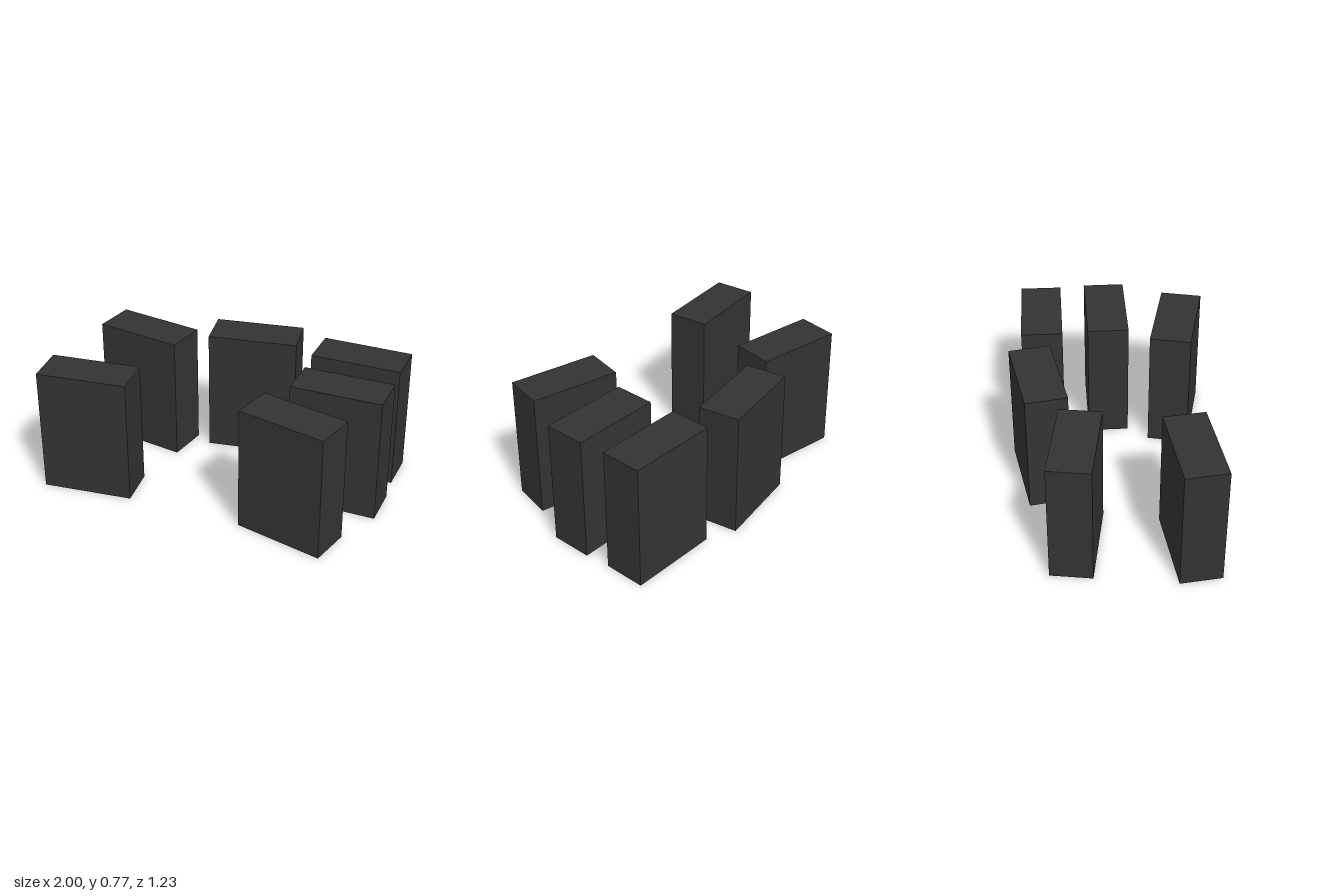
import * as THREE from 'three';

const WIDTH = 0.553, HEIGHT = 0.775, DEPTH = 0.255;

// Box shell standing on y = 0, open underneath
function openBottomBox() {
  const box = new THREE.BoxGeometry(WIDTH, HEIGHT, DEPTH);
  box.translate(0, HEIGHT / 2, 0);
  const index = Array.from(box.getIndex().array);
  index.splice(18, 6); // remove the two triangles of the bottom face
  box.setIndex(index);
  box.clearGroups();
  return box;
}

export function createModel() {
  const model = new THREE.Group();
  model.name = 'blockArrangement';
  const geometry = openBottomBox();
  const material = new THREE.MeshStandardMaterial({ color: 0x333333, side: THREE.DoubleSide });

  // Loose ring of identical blocks: x, z, turn about y
  const blocks = [
    ['backRightBlock', -0.642, -0.243, -0.147],
    ['backBlock', 0.004, -0.445, 0.183],
    ['backLeftBlock', 0.702, -0.419, 0.006],
    ['leftBlock', 0.722, -0.008, 0.012],
    ['frontLeftBlock', 0.585, 0.431, -0.213],
    ['frontRightBlock', -0.71, 0.42, 0.13],
  ];
  for (const [name, x, z, turn] of blocks) {
    const block = new THREE.Mesh(geometry, material);
    block.name = name;
    block.position.set(x, 0, z);
    block.rotation.y = turn;
    model.add(block);
  }
  return model;
}
